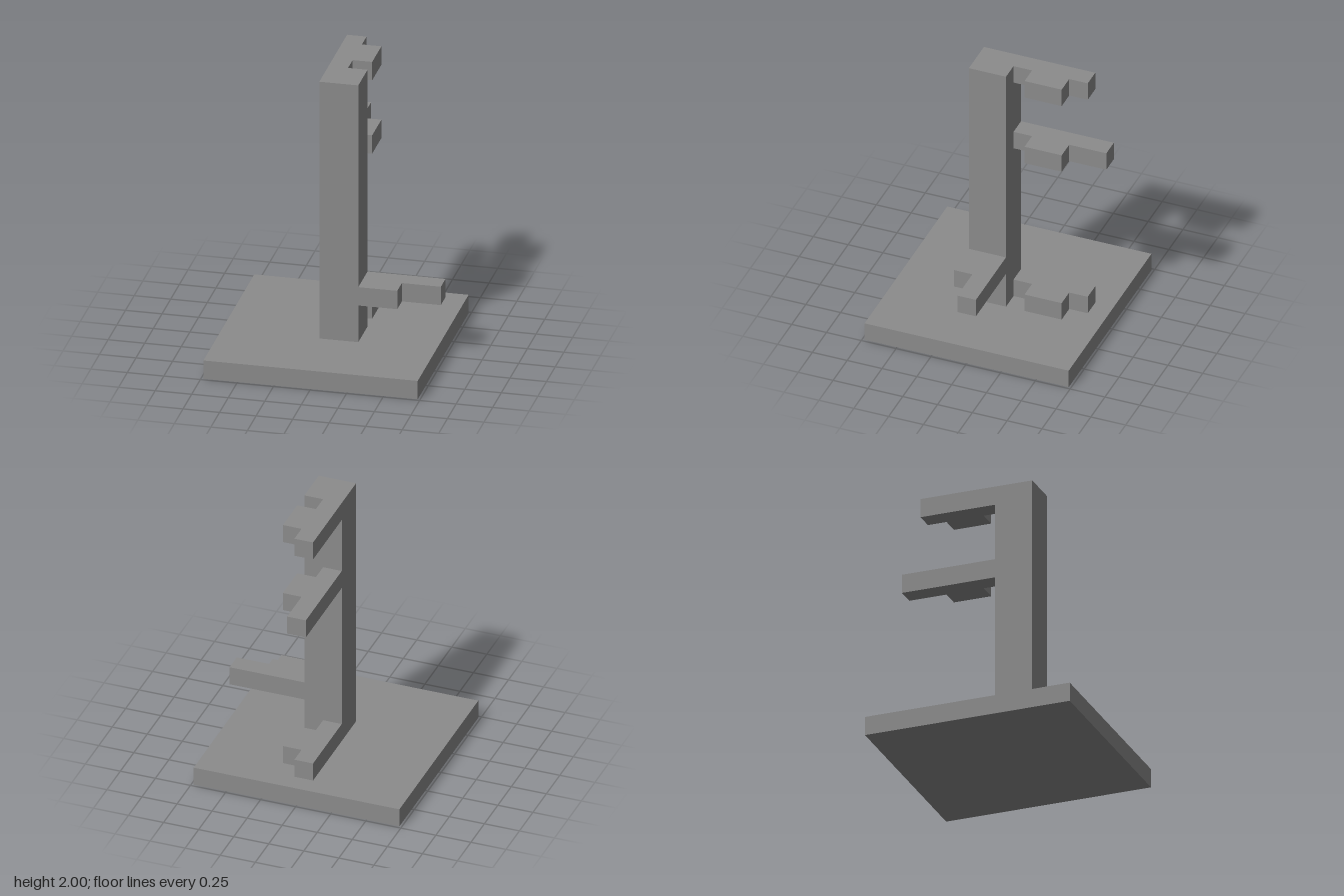
import * as THREE from 'three';

const U = 2 / 15; // block grid unit

export function createModel() {
  const group = new THREE.Group();
  const grey = new THREE.MeshStandardMaterial({ color: 0x8c8c8c });
  grey.name = 'grey';

  function add(name, geometry, x, y, z) {
    const mesh = new THREE.Mesh(geometry, grey);
    mesh.name = name;
    mesh.position.set(x * U, y * U, z * U);
    group.add(mesh);
  }

  // Plan outline in (x, z) grid units, one unit thick, standing on height y
  function slab(name, outline, y) {
    const shape = new THREE.Shape(outline.map(([x, z]) => new THREE.Vector2(x * U, z * U)));
    const geometry = new THREE.ExtrudeGeometry(shape, { depth: U, bevelEnabled: false });
    geometry.rotateX(Math.PI / 2);
    add(name, geometry, 0, y + 1, 0);
  }

  // Base plate and post
  add('basePlate', new THREE.BoxGeometry(11 * U, U, 11 * U), 0, 0.5, 0);
  add('post', new THREE.BoxGeometry(2 * U, 14 * U, 2 * U), 0.5, 8, 0.5);

  // Rear arms with a side tab; the middle one is a unit longer
  const rearArms = [['lowerRearArm', 1, -4.5], ['middleRearArm', 10, -5.5], ['upperRearArm', 14, -4.5]];
  for (const [name, y, end] of rearArms) {
    slab(name, [
      [-0.5, -0.5], [-0.5, end], [0.5, end], [0.5, -3.5],
      [1.5, -3.5], [1.5, -1.5], [0.5, -1.5], [0.5, -0.5],
    ], y);
  }

  // Side arm with a front step
  slab('sideArm', [[1.5, -0.5], [5.5, -0.5], [5.5, 0.5], [3.5, 0.5], [3.5, 1.5], [1.5, 1.5]], 3);

  return group;
}
